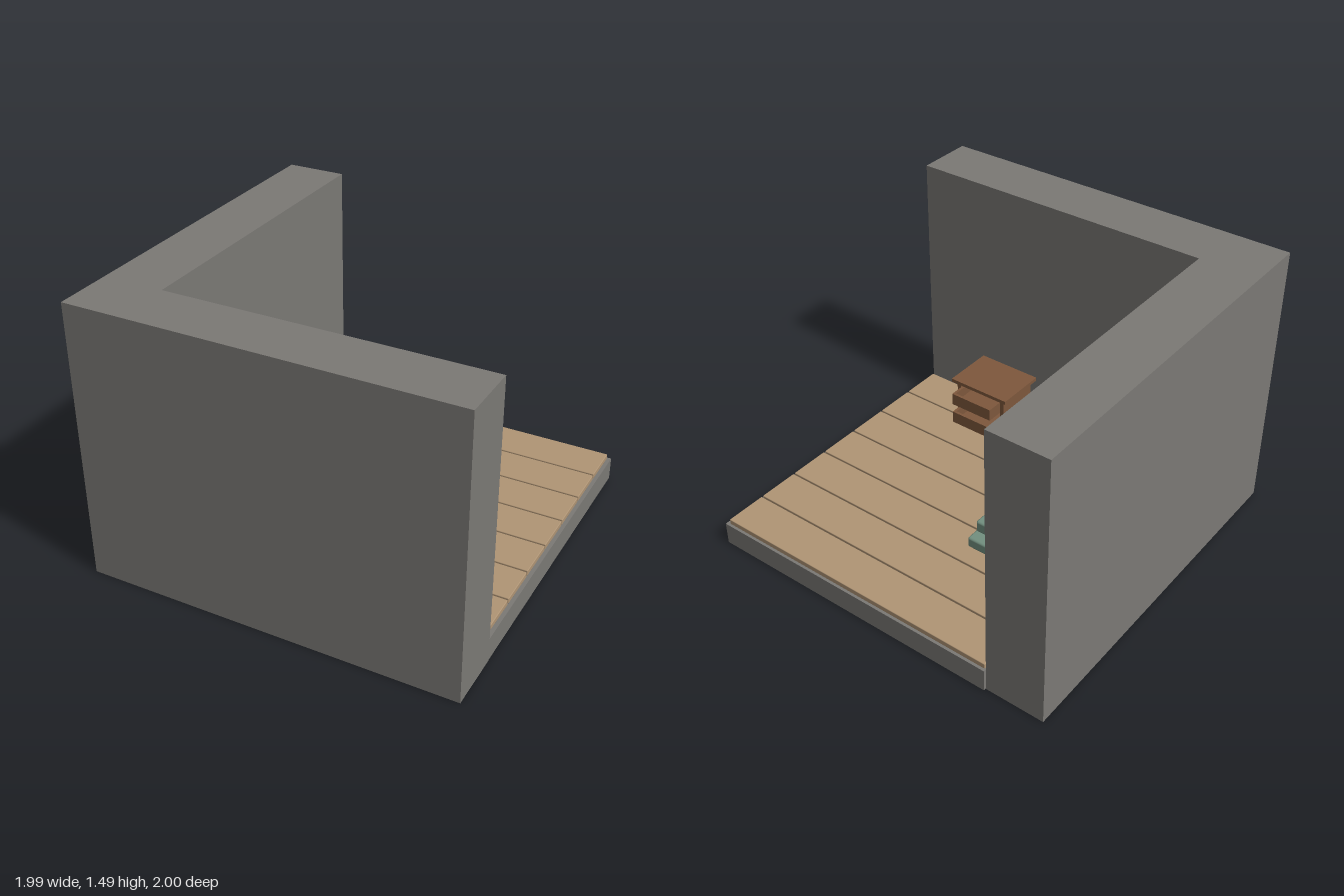
import * as THREE from 'three';
import { RoundedBoxGeometry } from 'three/addons/geometries/RoundedBoxGeometry.js';

const mat = (color) => new THREE.MeshStandardMaterial({ color });
const stone = mat(0x7b7975), plank = mat(0xb09575), cloth = mat(0x739080), wood = mat(0x7e583c);

// Box given by its limits on each axis; a radius rounds its edges
function box(parent, name, material, [x0, x1], [y0, y1], [z0, z1], radius = 0) {
  const w = x1 - x0, h = y1 - y0, d = z1 - z0;
  const geometry = radius
    ? new RoundedBoxGeometry(w, h, d, 2, radius)
    : new THREE.BoxGeometry(w, h, d);
  const mesh = new THREE.Mesh(geometry, material);
  mesh.name = name;
  mesh.position.set((x0 + x1) / 2, (y0 + y1) / 2, (z0 + z1) / 2);
  parent.add(mesh);
  return mesh;
}

function group(parent, name) {
  const g = new THREE.Group();
  g.name = name;
  parent.add(g);
  return g;
}

// Open-topped drawer made of thin panels
function drawer(parent, y) {
  const g = group(parent, 'drawer');
  const t = 0.015, x0 = 0.3, x1 = 0.56, z0 = 0.335, z1 = 0.58, top = y + 0.07;
  box(g, 'drawerBottom', wood, [x0, x1], [y, y + t], [z0, z1]);
  box(g, 'drawerFront', wood, [x0, x1], [y + t, top], [z0, z0 + t]);
  box(g, 'drawerBack', wood, [x0, x1], [y + t, top], [z1 - t, z1]);
  box(g, 'drawerSide', wood, [x0, x0 + t], [y + t, top], [z0 + t, z1 - t]);
  box(g, 'drawerSide', wood, [x1 - t, x1], [y + t, top], [z0 + t, z1 - t]);
}

export function createModel() {
  const model = new THREE.Group();
  model.name = 'bedroom';

  // L-shaped wall, extruded upwards
  const outline = new THREE.Shape([
    [-1, -1], [0.99, -1], [0.99, -0.69], [-0.68, -0.69], [-0.68, 0.985], [-1, 0.985],
  ].map(([x, y]) => new THREE.Vector2(x, y)));
  const walls = new THREE.Mesh(
    new THREE.ExtrudeGeometry(outline, { depth: 1.49, bevelEnabled: false }), stone);
  walls.name = 'walls';
  walls.rotation.x = -Math.PI / 2;
  model.add(walls);

  // Floor slab and planks
  box(model, 'floorSlab', stone, [-0.68, 0.99], [0.004, 0.13], [-1, 0.69]);
  const floor = group(model, 'floorPlanks');
  for (let i = 0; i < 7; i++) {
    const z = -0.987 + i * 0.2365;
    box(floor, 'floorPlank', plank, [-0.675, 0.97], [0.13, 0.16], [z, z + 0.227], 0.004);
  }

  // Bed: base, blanket, pillow
  const bed = group(model, 'bed');
  box(bed, 'mattress', cloth, [-0.667, -0.13], [0.16, 0.222], [-0.415, 0.67], 0.012);
  box(bed, 'blanket', cloth, [-0.66, -0.137], [0.222, 0.29], [-0.355, 0.672], 0.012);
  box(bed, 'pillow', cloth, [-0.567, -0.22], [0.28, 0.33], [0.51, 0.635], 0.012);

  // Dresser: open-fronted case with two pulled-out drawers
  const dresser = group(model, 'dresser');
  const x = [0.265, 0.585], z = [0.415, 0.668];
  box(dresser, 'dresserTop', wood, [0.24, 0.61], [0.4, 0.42], [0.395, 0.685]);
  box(dresser, 'dresserSide', wood, [x[0], x[0] + 0.025], [0.16, 0.4], z);
  box(dresser, 'dresserSide', wood, [x[1] - 0.025, x[1]], [0.16, 0.4], z);
  box(dresser, 'dresserBack', wood, [x[0] + 0.025, x[1] - 0.025], [0.16, 0.4], [z[1] - 0.02, z[1]]);
  box(dresser, 'dresserBottom', wood, [x[0] + 0.025, x[1] - 0.025], [0.16, 0.178], [z[0], z[1] - 0.02]);
  for (const y of [0.18, 0.302]) drawer(dresser, y);

  return model;
}
